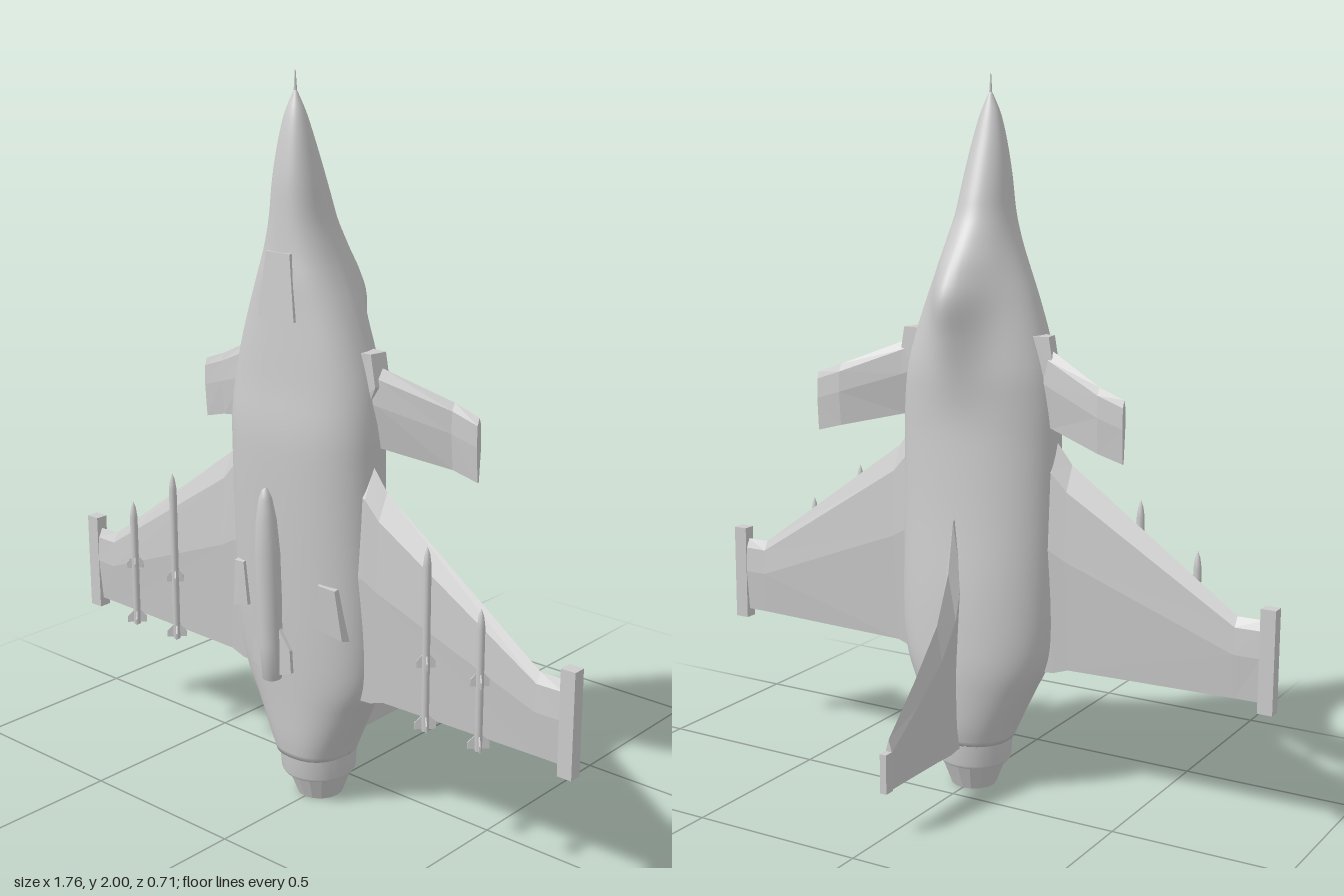
import * as THREE from 'three';

const smooth = new THREE.MeshStandardMaterial({ color: 0xcccccc, side: THREE.DoubleSide });
const flat = new THREE.MeshStandardMaterial({ color: 0xcccccc, flatShading: true, side: THREE.DoubleSide });

// Skin a list of closed rings of [x, y, z], with a fan cap at both ends
function loft(rings) {
  const n = rings[0].length, last = (rings.length - 1) * n, index = [];
  for (let i = 0; i < rings.length - 1; i++) {
    for (let j = 0; j < n; j++) {
      const a = i * n + j, b = i * n + (j + 1) % n;
      index.push(a, a + n, b, b, a + n, b + n);
    }
  }
  for (let j = 1; j < n - 1; j++) index.push(0, j, j + 1, last, last + j + 1, last + j);
  const g = new THREE.BufferGeometry();
  g.setAttribute('position', new THREE.Float32BufferAttribute(rings.flat(2), 3));
  g.setIndex(index);
  g.computeVertexNormals();
  return g;
}

// Copy reflected across x = 0, with the face order turned round
function mirrored(geometry) {
  const g = geometry.clone().scale(-1, 1, 1), ix = g.index.array;
  for (let i = 0; i < ix.length; i += 3) [ix[i + 1], ix[i + 2]] = [ix[i + 2], ix[i + 1]];
  g.computeVertexNormals();
  return g;
}

// Bevelled wing section; station = [x, leading y, trailing y, mid z, half thickness]
const wingRing = ([x, le, te, z, h]) => {
  const c = le - te;
  return [[x, le, z], [x, le - 0.12 * c, z - h * 0.8], [x, le - 0.45 * c, z - h], [x, te, z - h * 0.3],
    [x, te, z + h * 0.3], [x, le - 0.45 * c, z + h], [x, le - 0.12 * c, z + h * 0.8]];
};

// Fin section; station = [z, trailing y, leading y, half thickness]
const finRing = ([z, te, le, h]) => {
  const m = le - 0.25 * (le - te);
  return [[h * 0.4, te, z], [h, m, z], [0, le, z], [-h, m, z], [-h * 0.4, te, z]];
};

// Fuselage rows: y, half width, back z, belly z, z of widest line, canopy height
const bodyRows = [
  [0.14, 0.108, 0.015, 0.238, 0.12, 0], [0.2, 0.135, 0.0, 0.246, 0.125, 0],
  [0.29, 0.178, -0.01, 0.252, 0.13, 0], [0.37, 0.215, -0.015, 0.258, 0.14, 0],
  [0.46, 0.232, -0.013, 0.265, 0.145, 0], [0.6, 0.237, -0.007, 0.275, 0.15, 0],
  [0.8, 0.237, 0.008, 0.287, 0.15, 0], [1.0, 0.236, 0.015, 0.296, 0.15, 0],
  [1.1, 0.234, 0.013, 0.296, 0.15, 0.002], [1.2, 0.222, 0.008, 0.287, 0.15, 0.016],
  [1.3, 0.195, 0.015, 0.281, 0.155, 0.05], [1.4, 0.16, 0.03, 0.275, 0.16, 0.088],
  [1.48, 0.127, 0.045, 0.272, 0.165, 0.068], [1.55, 0.1, 0.058, 0.265, 0.17, 0.03],
  [1.63, 0.077, 0.075, 0.26, 0.175, 0], [1.73, 0.062, 0.11, 0.254, 0.183, 0],
  [1.82, 0.046, 0.143, 0.24, 0.19, 0], [1.89, 0.029, 0.168, 0.224, 0.195, 0],
  [1.935, 0.011, 0.186, 0.207, 0.197, 0], [1.95, 0.004, 0.193, 0.201, 0.197, 0],
];

function fuselage() {
  const curve = (a, b) => new THREE.CatmullRomCurve3(
    bodyRows.map(r => new THREE.Vector3(r[a], r[0], r[b])), false, 'catmullrom', 0.5);
  const back = curve(1, 2), belly = curve(4, 3), canopy = curve(5, 5);
  const rings = [], rows = 76, sides = 56;
  for (let i = 0; i <= rows; i++) {
    const p = back.getPoint(i / rows), q = belly.getPoint(i / rows);
    const hump = Math.max(0, canopy.getPoint(i / rows).x), ring = [];
    for (let j = 0; j < sides; j++) {
      const a = j / sides * Math.PI * 2, c = Math.cos(a), s = Math.sin(a);
      const e = s > 0 ? 2 / 2.4 : 1;
      const x = p.x * Math.sign(c) * Math.abs(c) ** e;
      const z = s > 0 ? q.x + (q.z - q.x) * s ** e
        : q.x + (q.x - p.z) * s - hump * Math.exp(-((x / 0.075) ** 2)) * Math.min(1, -s * 1.5);
      ring.push([x, p.y, z]);
    }
    rings.push(ring);
  }
  return loft(rings);
}

const lathe = (points, sides) =>
  new THREE.LatheGeometry(points.map(([r, y]) => new THREE.Vector2(r, y)), sides);

// Thin plate from [x, y, z] corners (clockwise seen from the belly), raised from depth d
const plate = (corners, d, inset) => {
  const cx = corners.reduce((s, p) => s + p[0], 0) / 4, cy = corners.reduce((s, p) => s + p[1], 0) / 4;
  return loft([corners.map(([x, y, z]) => [x, y, z - d]),
    corners.map(([x, y, z]) => [cx + (x - cx) * inset, cy + (y - cy) * inset, z])]);
};

export function createModel() {
  const root = new THREE.Group();
  const add = (name, geometry, material = flat, parent = root) => {
    const mesh = new THREE.Mesh(geometry, material);
    mesh.name = name;
    parent.add(mesh);
    return mesh;
  };
  const pair = (name, geometry) => {
    add(name + 'Left', geometry);
    add(name + 'Right', mirrored(geometry));
  };

  // Body, nose probe and exhaust
  add('fuselage', fuselage(), smooth);
  add('noseProbe', new THREE.CylinderGeometry(0.0012, 0.005, 0.06, 8), smooth).position.set(0, 1.97, 0.197);
  add('nozzleRing', lathe([[0.097, 0.07], [0.104, 0.08], [0.109, 0.145]], 24), smooth).position.z = 0.123;
  add('nozzle', lathe([[0.05, 0.09], [0.058, 0], [0.064, 0], [0.093, 0.075], [0, 0.09]], 16)).position.z = 0.118;

  // Main wings with tip rails
  pair('wing', loft([[0.15, 1.05, 0.35, 0.165, 0.05], [0.235, 1.01, 0.355, 0.165, 0.046],
    [0.28, 0.952, 0.37, 0.166, 0.042], [0.77, 0.6, 0.376, 0.168, 0.02],
    [0.845, 0.6, 0.376, 0.168, 0.017]].map(wingRing)));
  pair('wingTipRail', new THREE.BoxGeometry(0.042, 0.285, 0.036).translate(0.861, 0.4925, 0.168));

  // Foreplanes and their root fairings
  pair('foreplane', loft([[0.16, 1.31, 1.065, 0.16, 0.03], [0.235, 1.265, 1.055, 0.132, 0.025],
    [0.41, 1.192, 1.015, 0.06, 0.012], [0.485, 1.165, 0.995, 0.055, 0.009]].map(wingRing)));
  pair('foreplaneFairing', loft([[0.17, 0.22, 1.16], [0.165, 0.245, 1.22], [0.16, 0.23, 1.305]].map(
    ([a, b, y]) => [[b, y, 0.115], [b - 0.008, y, 0.165], [a, y, 0.175], [a, y, 0.11]])));

  // Tail fin and its tip fairing
  add('tailFin', loft([[0.06, 0.135, 0.86, 0.03], [0, 0.13, 0.79, 0.027], [-0.025, 0.125, 0.65, 0.024],
    [-0.085, 0.125, 0.515, 0.016], [-0.2, 0.125, 0.39, 0.012],
    [-0.328, 0.125, 0.268, 0.01]].map(finRing)));
  add('finTip', new THREE.BoxGeometry(0.02, 0.11, 0.032).translate(0, 0.18, -0.34));

  // Belly panels
  add('nosePanel', plate([[-0.042, 1.555, 0.268], [0.042, 1.555, 0.268],
    [0.065, 1.38, 0.279], [-0.065, 1.38, 0.279]], 0.03, 0.97));
  pair('bellyDoor', plate([[0.132, 0.7, 0.274], [0.184, 0.69, 0.26],
    [0.203, 0.535, 0.25], [0.12, 0.565, 0.272]], 0.035, 0.9));

  // Centre tank with two side fins
  const tank = new THREE.Group();
  tank.name = 'centreTank';
  tank.position.set(0, 0.405, 0.308);
  tank.rotation.x = 0.033;
  root.add(tank);
  add('tankBody', lathe([[0, 0], [0.026, 0], [0.031, 0.1], [0.034, 0.22], [0.034, 0.36], [0.028, 0.45],
    [0.018, 0.51], [0.008, 0.535], [0, 0.54]], 20), smooth, tank);
  const finShape = new THREE.Shape([[0.02, 0.165], [0.068, 0.095], [0.07, 0.03], [0.02, 0.012]]
    .map(([x, y]) => new THREE.Vector2(x, y)));
  const tankFin = new THREE.ExtrudeGeometry(finShape, { depth: 0.01, bevelEnabled: false });
  for (const turn of [0, Math.PI]) {
    const fin = add('tankFin', tankFin, flat, tank);
    fin.rotation.y = turn;
    fin.position.z = turn ? 0.0 : -0.01;
  }

  // Wing missiles: slim body, nose, and two sets of crossed fins
  const fin = (y, w, h) => new THREE.ExtrudeGeometry(new THREE.Shape([[0, y + h], [w, y + h * 0.4], [w, y], [0, y]]
    .map(p => new THREE.Vector2(...p))), { depth: 0.004, bevelEnabled: false }).translate(0, 0, -0.002);
  const missileFins = [fin(0.005, 0.028, 0.045), fin(0.175, 0.024, 0.045)];
  for (const side of [1, -1]) {
    for (const [x, length] of [[0.46, 0.5], [0.63, 0.38]]) {
      const missile = new THREE.Group();
      missile.name = 'missile';
      missile.position.set(side * x, 0.365, 0.225);
      root.add(missile);
      add('missileBody', lathe([[0, 0], [0.01, 0], [0.011, length - 0.05], [0.007, length - 0.02],
        [0, length]], 10), smooth, missile);
      for (const g of missileFins) {
        for (let k = 0; k < 4; k++) add('missileFin', g, flat, missile).rotation.y = (k + 0.5) * Math.PI / 2;
      }
    }
  }
  return root;
}
